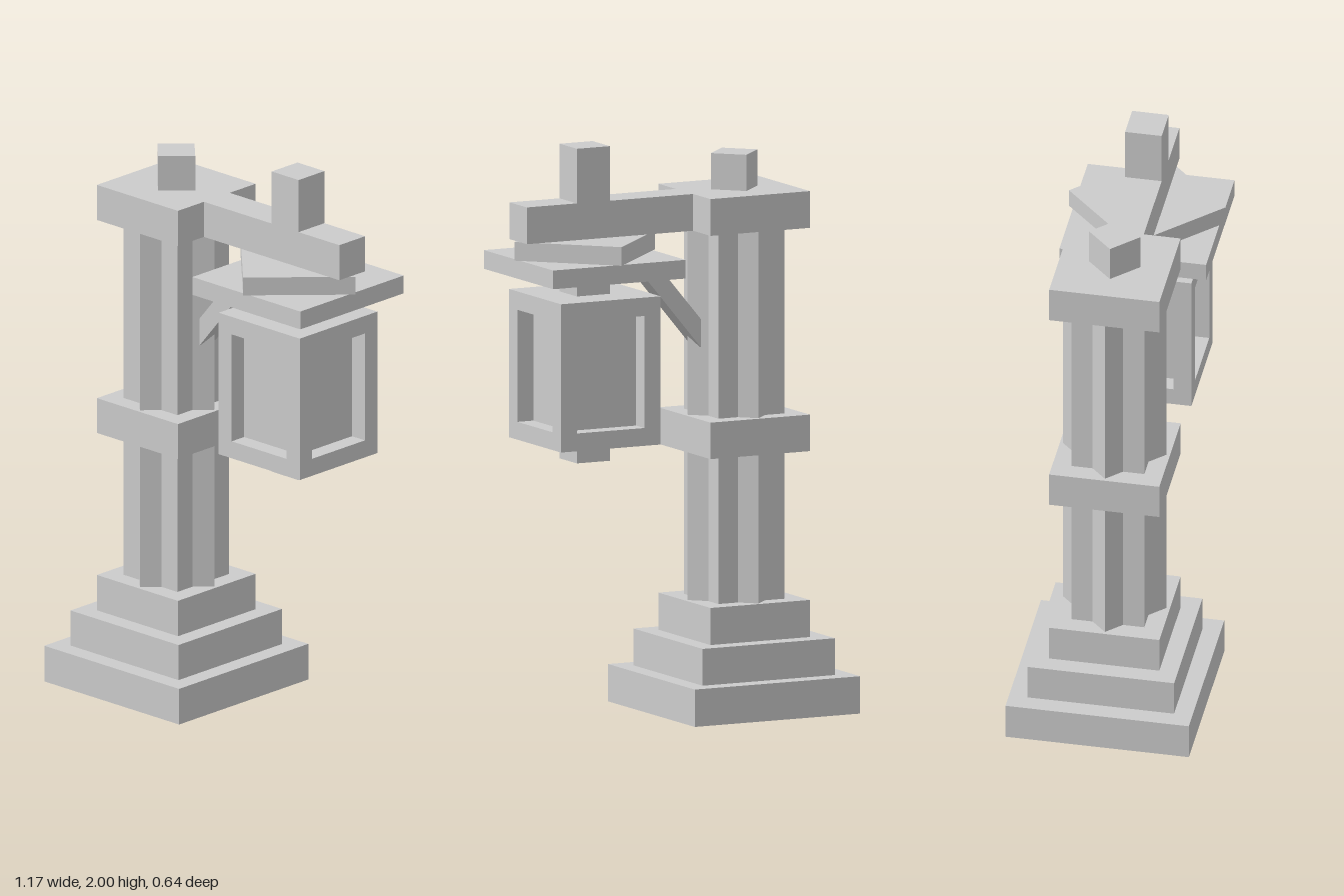
import * as THREE from 'three';

export function createModel() {
  const model = new THREE.Group();
  model.name = 'lanternPost';
  const stone = new THREE.MeshStandardMaterial({ color: 0xcccccc });
  stone.name = 'pale grey';

  const POST_X = -0.268;
  const LAMP_X = 0.312;

  // Square block of width w, from y0 to y1, optionally turned about y
  function block(parent, name, x, z, w, y0, y1, turn = 0, depth = w) {
    const mesh = new THREE.Mesh(new THREE.BoxGeometry(w, y1 - y0, depth), stone);
    mesh.name = name;
    mesh.position.set(x, (y0 + y1) / 2, z);
    mesh.rotation.y = turn;
    parent.add(mesh);
    return mesh;
  }
  const DIAGONAL = Math.PI / 4;

  // Stepped base
  const base = new THREE.Group();
  base.name = 'base';
  model.add(base);
  [[0.642, 0, 0.13], [0.514, 0.13, 0.258], [0.386, 0.258, 0.387]].forEach(([w, y0, y1], i) =>
    block(base, `baseStep${i + 1}`, POST_X, 0, w, y0, y1));

  // Star-shaped column made of two crossed square shafts
  const column = new THREE.Group();
  column.name = 'column';
  model.add(column);
  block(column, 'squareShaft', POST_X, 0, 0.256, 0.387, 1.682);
  block(column, 'diagonalShaft', POST_X, 0, 0.256, 0.387, 1.682, DIAGONAL);
  block(column, 'columnBand', POST_X, 0, 0.386, 0.905, 1.032);
  block(column, 'columnCap', POST_X, 0, 0.386, 1.682, 1.81);
  block(column, 'finial', POST_X, 0, 0.128, 1.81, 1.936, DIAGONAL);

  // Arm reaching out from the cap
  block(model, 'arm', 0.2475, 0, 0.645, 1.682, 1.81, 0, 0.128);
  block(model, 'armPeg', LAMP_X, 0, 0.128, 1.81, 2);

  // Slanted brace under the arm, cut upright at the column
  const braceShape = new THREE.Shape([
    [-0.118, 1.27], [0.228, 1.682], [0.146, 1.682], [-0.118, 1.368],
  ].map(([x, y]) => new THREE.Vector2(x, y)));
  const braceDepth = 0.08;
  const brace = new THREE.Mesh(
    new THREE.ExtrudeGeometry(braceShape, { depth: braceDepth, bevelEnabled: false }), stone);
  brace.name = 'brace';
  brace.position.z = -braceDepth / 2;
  model.add(brace);

  // Lantern: roof, neck, framed body with recessed panes, and bottom peg
  const lantern = new THREE.Group();
  lantern.name = 'lantern';
  model.add(lantern);
  block(lantern, 'roofDiamond', LAMP_X, 0, 0.386, 1.617, 1.682, DIAGONAL);
  block(lantern, 'roofPlate', LAMP_X, 0, 0.514, 1.552, 1.617);
  block(lantern, 'neck', LAMP_X, 0, 0.128, 1.486, 1.552);
  block(lantern, 'frameTop', LAMP_X, 0, 0.386, 1.422, 1.486);
  block(lantern, 'panes', LAMP_X, 0, 0.262, 1.032, 1.422);
  block(lantern, 'frameBottom', LAMP_X, 0, 0.386, 0.97, 1.032);
  block(lantern, 'bottomPeg', LAMP_X, 0, 0.128, 0.905, 0.97);
  for (const sx of [-1, 1])
    for (const sz of [-1, 1])
      block(lantern, 'framePost', LAMP_X + sx * 0.162, sz * 0.162, 0.062, 1.032, 1.422);

  return model;
}
